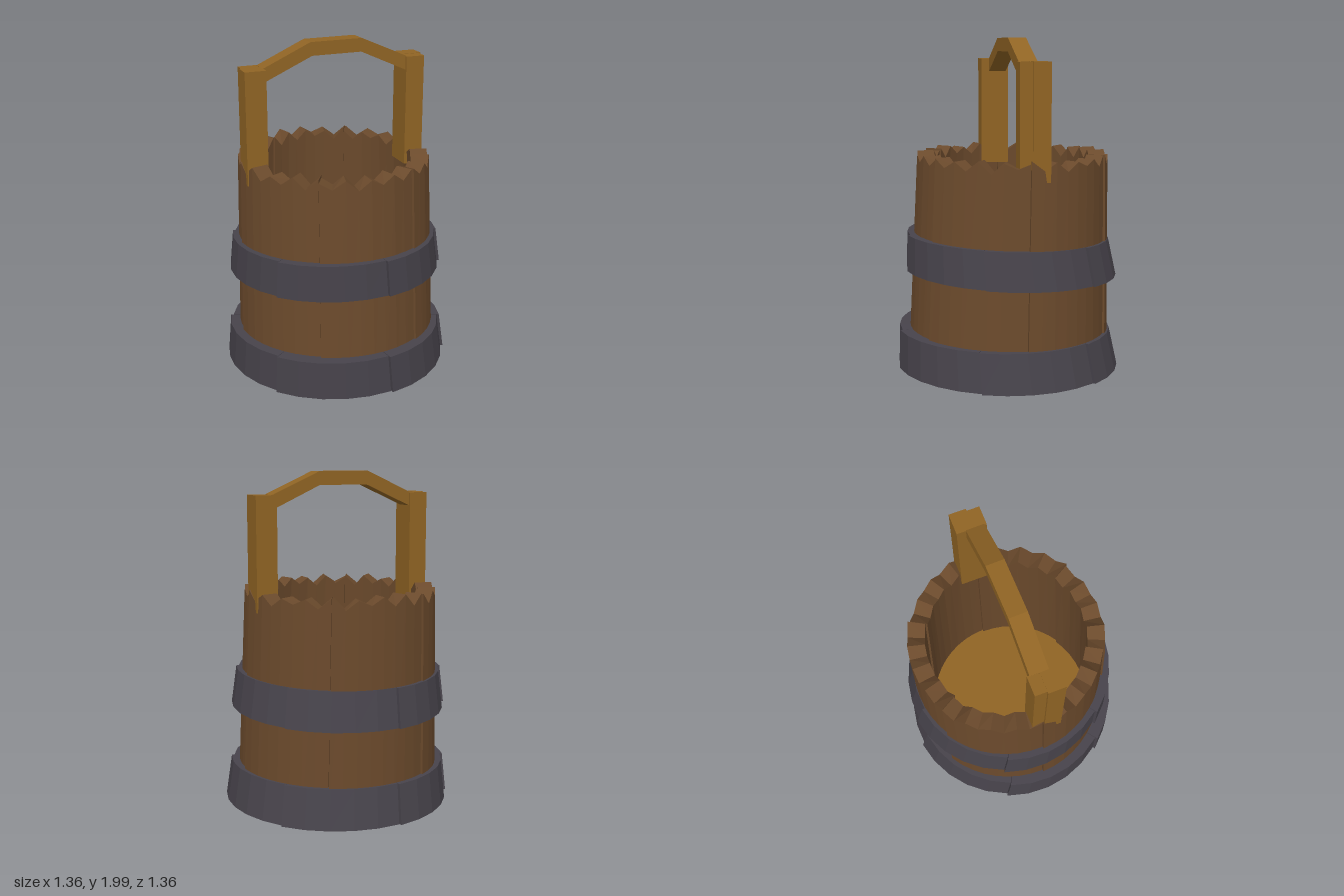
import * as THREE from 'three';

const wood = new THREE.MeshStandardMaterial({ color: 0x6b4a2c });
wood.name = 'brown stave wood';
const gold = new THREE.MeshStandardMaterial({ color: 0x906424 });
gold.name = 'golden wood';
const iron = new THREE.MeshStandardMaterial({ color: 0x47434b });
iron.name = 'dark iron';

// small seeded random for the chipped rim
let seed = 7;
const rand = () => (seed = (seed * 16807) % 2147483647) / 2147483647;

function add(group, name, geometry, material) {
  const mesh = new THREE.Mesh(geometry, material);
  mesh.name = name;
  group.add(mesh);
  return mesh;
}

// Curved plank: a four-cornered section swept round an arc with faceted sides.
// corner(t, k) gives {r, y, x, z}; k = outer bottom, outer top, inner top, inner bottom
function arcPlank(start, sweep, steps, corner) {
  const pos = [];
  const rings = [];
  for (let i = 0; i <= steps; i++) {
    const t = i / steps, a = start + sweep * t;
    rings.push([0, 1, 2, 3].map((k) => {
      const c = corner(t, k, i);
      return [c.x + c.r * Math.cos(a), c.y, c.z + c.r * Math.sin(a)];
    }));
  }
  const tri = (a, b, c) => pos.push(...a, ...b, ...c);
  for (let i = 0; i < steps; i++) {
    const p = rings[i], q = rings[i + 1];
    for (let k = 0; k < 4; k++) {
      const n = (k + 1) % 4;
      tri(p[k], p[n], q[k]);
      tri(p[n], q[n], q[k]);
    }
  }
  const s = rings[0], e = rings[steps];
  tri(s[0], s[2], s[1]);
  tri(s[0], s[3], s[2]);
  tri(e[0], e[1], e[2]);
  tri(e[0], e[2], e[3]);
  const g = new THREE.BufferGeometry();
  g.setAttribute('position', new THREE.Float32BufferAttribute(pos, 3));
  g.computeVertexNormals();
  return g;
}

const SIXTH = Math.PI / 3;

// Iron hoop of six overlapping plates, flared towards the bottom
function hoop(name, bottom, top) {
  const group = new THREE.Group();
  group.name = name;
  for (let s = 0; s < 6; s++) {
    const start = 0.4 + s * SIXTH;
    add(group, 'hoopPlate', arcPlank(start, SIXTH * 0.995, 5, (t, k) => {
      const e = k === 1 || k === 2 ? top : bottom;
      const r = k < 2 ? e.r + (t - 0.5) * 0.016 : e.inner;
      const y = e.y + e.tilt * Math.sin(start + SIXTH * t);
      return { r, y, x: e.x, z: e.z };
    }), iron);
  }
  return group;
}

export function createModel() {
  const model = new THREE.Group();
  model.name = 'bucket';

  // six wide staves with chipped tops, leaning slightly back
  const staves = new THREE.Group();
  staves.name = 'staves';
  const STEPS = 8;
  for (let s = 0; s < 6; s++) {
    const tops = [];
    for (let i = 0; i <= STEPS; i++) {
      tops.push(i % 2 ? 1.24 + rand() * 0.04 : 1.305 + rand() * 0.02);
    }
    add(staves, 'stave', arcPlank(s * SIXTH, SIXTH * 0.995, STEPS, (t, k, i) => {
      const up = k === 1 || k === 2;
      const base = k < 2 ? (up ? 0.576 : 0.613) : (up ? 0.472 : 0.53);
      return {
        r: base + (t - 0.5) * 0.012,
        y: up ? tops[i] : 0.05,
        x: up ? -0.007 : 0,
        z: up ? -0.027 : 0,
      };
    }), wood);
  }
  model.add(staves);

  // floor
  const floor = add(model, 'floor', new THREE.CylinderGeometry(0.57, 0.57, 0.05, 30).toNonIndexed(), gold);
  floor.geometry.computeVertexNormals();
  floor.position.y = 0.055;

  // hoops
  model.add(hoop('lowerHoop',
    { r: 0.68, inner: 0.555, y: 0.013, tilt: 0.008, x: 0, z: 0 },
    { r: 0.652, inner: 0.56, y: 0.244, tilt: 0.01, x: -0.015, z: 0.02 }));
  model.add(hoop('upperHoop',
    { r: 0.645, inner: 0.56, y: 0.596, tilt: 0.024, x: 0, z: -0.02 },
    { r: 0.618, inner: 0.55, y: 0.818, tilt: 0.02, x: -0.012, z: 0 }));

  // handle posts, each of two boards set side by side
  const board = (group, x0, x1, z0, z1, top) => {
    const y0 = 1.2;
    const mesh = add(group, 'postBoard', new THREE.BoxGeometry(x1 - x0, top - y0, z1 - z0), gold);
    mesh.position.set((x0 + x1) / 2, (top + y0) / 2, (z0 + z1) / 2);
  };
  const rightPost = new THREE.Group();
  rightPost.name = 'rightPost';
  board(rightPost, -0.582, -0.455, -0.015, 0.088, 1.87);
  board(rightPost, -0.57, -0.455, -0.085, -0.015, 1.868);
  const leftPost = new THREE.Group();
  leftPost.name = 'leftPost';
  board(leftPost, 0.44, 0.568, -0.14, -0.04, 1.87);
  board(leftPost, 0.44, 0.556, -0.04, 0.035, 1.868);
  model.add(rightPost, leftPost);

  // bent crossbar between the posts
  const outline = [
    [-0.46, 1.787], [-0.16, 1.92], [0.148, 1.92], [0.445, 1.785],
    [0.445, 1.87], [0.15, 2.0], [-0.17, 2.0], [-0.46, 1.87],
  ].map(([x, y]) => new THREE.Vector2(x, y));
  const barGeometry = new THREE.ExtrudeGeometry(new THREE.Shape(outline), { depth: 0.108, bevelEnabled: false });
  barGeometry.translate(0, 0, -0.054);
  const bar = add(model, 'crossbar', barGeometry, gold);
  bar.position.z = -0.024;
  bar.rotation.y = 0.017;

  return model;
}
